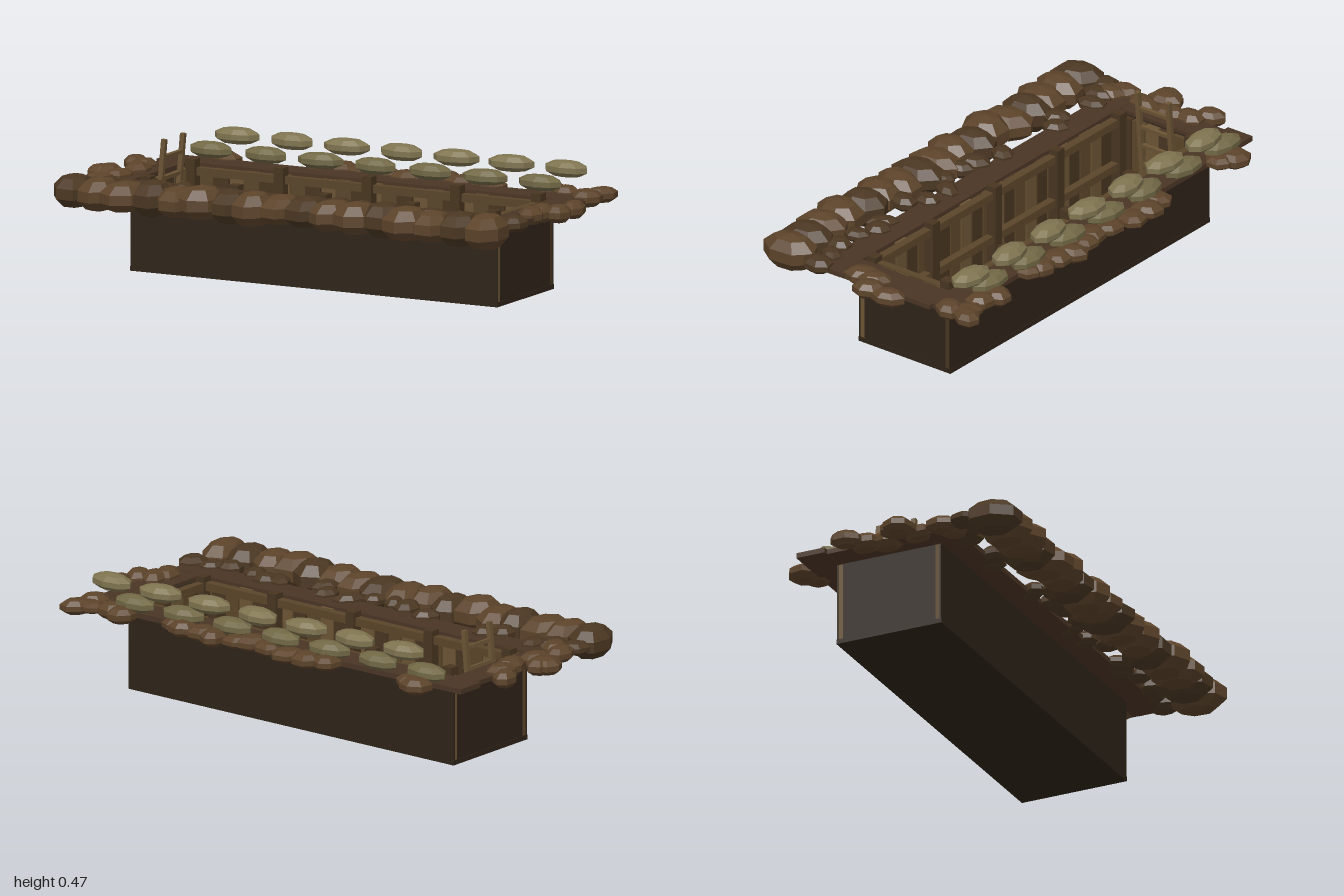
import * as THREE from 'three';

const mat = (color) => new THREE.MeshStandardMaterial({ color, flatShading: true });
const M = {
  dark: mat(0x2e2318), soil: mat(0x4a3525), dirt: mat(0x5c432a), dirtDark: mat(0x4b3722),
  wood: mat(0x6b5434), woodMid: mat(0x5a4529), woodDark: mat(0x483520),
  bag: mat(0x7f7450), bagDark: mat(0x716845), metal: mat(0x3d4144),
};

// Small seeded generator for irregular placement
let seed = 7;
const rand = (a, b) => {
  seed = (seed * 16807) % 2147483647;
  return a + (b - a) * (seed / 2147483647);
};

export function createModel() {
  seed = 7;
  const model = new THREE.Group();
  const group = (name) => {
    const g = new THREE.Group();
    g.name = name;
    model.add(g);
    return g;
  };
  // Box given by its minimum and maximum corners
  const box = (parent, name, a, b, material) => {
    const m = new THREE.Mesh(new THREE.BoxGeometry(b[0] - a[0], b[1] - a[1], b[2] - a[2]), material);
    m.position.set((a[0] + b[0]) / 2, (a[1] + b[1]) / 2, (a[2] + b[2]) / 2);
    m.name = name;
    parent.add(m);
    return m;
  };
  const lumpGeo = new THREE.SphereGeometry(1, 7, 5);
  const bagGeo = new THREE.SphereGeometry(1, 8, 5);
  const lump = (parent, name, geo, pos, size, yaw, material) => {
    const m = new THREE.Mesh(geo, material);
    m.position.set(...pos);
    m.scale.set(...size);
    m.rotation.y = yaw;
    m.name = name;
    parent.add(m);
  };

  // Dark outer shell of the trench
  const shell = group('trenchShell');
  box(shell, 'base', [-0.77, 0, -0.285], [0.77, 0.018, 0.145], M.dark);
  box(shell, 'frontPanel', [-0.77, 0.018, 0.138], [0.77, 0.325, 0.143], M.dark);
  box(shell, 'backPanel', [-0.77, 0.018, -0.283], [0.77, 0.325, -0.278], M.dark);
  for (const s of [-1, 1]) {
    const e = [0.755 * s, 0.767 * s].sort((p, q) => p - q);
    box(shell, 'endPanel', [e[0], 0.018, -0.26], [e[1], 0.325, 0.12], M.dark);
  }

  // Vertical plank lining on all four sides
  const lining = group('plankLining');
  const tones = [M.wood, M.woodMid, M.woodDark];
  const pitch = 1.54 / 24;
  for (let i = 0; i < 24; i++) {
    const x = -0.77 + i * pitch;
    box(lining, 'backPlank', [x + 0.003, 0.018, -0.278], [x + pitch - 0.003, 0.32 + rand(0, 0.012), -0.26], tones[i % 3]);
    box(lining, 'frontPlank', [x + 0.003, 0.018, 0.12], [x + pitch - 0.003, 0.32 + rand(0, 0.012), 0.138], tones[(i + 1) % 3]);
  }
  for (let i = 0; i < 6; i++) {
    const z = -0.26 + i * 0.0633;
    for (const x of [-0.755, 0.737])
      box(lining, 'endPlank', [x, 0.018, z + 0.003], [x + 0.018, 0.325, z + 0.06], tones[i % 3]);
  }

  // Posts and horizontal rails bracing the lining
  const frame = group('bracingFrame');
  for (const x of [-0.72, -0.35, 0.02, 0.39, 0.73]) {
    box(frame, 'backPost', [x - 0.02, 0.018, -0.262], [x + 0.02, 0.362, -0.22], M.woodDark);
    box(frame, 'frontPost', [x - 0.02, 0.018, 0.08], [x + 0.02, 0.352, 0.122], M.woodDark);
  }
  for (const y of [0.12, 0.3]) {
    box(frame, 'backRail', [-0.75, y, -0.262], [0.75, y + 0.03, -0.235], M.woodMid);
    box(frame, 'frontRail', [-0.75, y, 0.09], [0.75, y + 0.03, 0.122], M.woodMid);
  }
  box(frame, 'endRail', [0.712, 0.3, -0.26], [0.74, 0.33, 0.12], M.woodMid);

  // Slatted walkway on two runners
  const floor = group('duckboards');
  for (const z of [-0.18, 0.02]) box(floor, 'runner', [-0.72, 0.018, z - 0.015], [0.72, 0.034, z + 0.015], M.woodDark);
  for (let i = 0; i < 19; i++) {
    const x = -0.69 + i * 0.0765;
    const slat = box(floor, 'slat', [x - 0.027, 0.034, -0.235], [x + 0.027, 0.046, 0.075], tones[i % 2]);
    slat.rotation.y = rand(-0.05, 0.05);
  }

  // Ladder against the end wall
  const ladder = group('ladder');
  ladder.position.set(-0.745, 0.03, -0.07);
  ladder.rotation.z = -0.09;
  for (const z of [-0.072, 0.072]) box(ladder, 'ladderRail', [-0.009, 0, z - 0.009], [0.009, 0.445, z + 0.009], M.wood);
  for (let i = 0; i < 5; i++) box(ladder, 'rung', [-0.007, 0.05 + i * 0.08, -0.072], [0.007, 0.064 + i * 0.08, 0.072], M.wood);

  // Stores on the floor
  const stores = group('stores');
  box(stores, 'crate', [0.375, 0.046, -0.23], [0.54, 0.15, -0.125], M.woodDark);
  box(stores, 'metalTin', [0.585, 0.046, 0], [0.66, 0.095, 0.04], M.metal);

  // Ground rim around the opening
  const rim = group('groundRim');
  box(rim, 'backGround', [-0.89, 0.32, -0.39], [0.88, 0.34, -0.275], M.soil);
  box(rim, 'frontGround', [-0.87, 0.32, 0.13], [0.9, 0.34, 0.24], M.soil);
  box(rim, 'leftGround', [0.765, 0.321, -0.29], [0.9, 0.339, 0.14], M.soil);
  box(rim, 'rightGround', [-0.87, 0.321, -0.29], [-0.765, 0.339, 0.14], M.soil);

  // Heavy earth bank along the front
  const parapet = group('frontParapet');
  for (let i = 0; i < 17; i++) {
    const x = -0.86 + i * 0.1075;
    lump(parapet, 'earthLump', lumpGeo, [x, 0.332 + rand(-0.006, 0.006), 0.4 + rand(-0.015, 0.015)],
      [rand(0.075, 0.09), rand(0.058, 0.072), rand(0.1, 0.118)], rand(-0.3, 0.3), i % 3 ? M.dirt : M.dirtDark);
  }
  for (const x of [-0.88, -0.8, -0.73, -0.56, -0.5, -0.21, -0.09, -0.02, 0.07, 0.14, 0.25, 0.31, 0.49, 0.54, 0.62, 0.73, 0.8, 0.89])
    lump(parapet, 'looseLump', lumpGeo, [x, 0.338, rand(0.22, 0.3)],
      [rand(0.04, 0.055), rand(0.025, 0.035), rand(0.05, 0.07)], rand(-0.8, 0.8), M.dirtDark);

  // Flat spoil behind the trench
  const spoil = group('rearSpoil');
  for (const [x, z] of [[-0.72, -0.44], [-0.67, -0.41], [-0.28, -0.42], [-0.2, -0.44], [-0.11, -0.44], [0, -0.42], [0.09, -0.4],
    [0.14, -0.42], [0.24, -0.44], [0.31, -0.42], [0.4, -0.42], [0.45, -0.4], [0.68, -0.43], [0.75, -0.41], [0.84, -0.42], [0.88, -0.45], [0.87, -0.36]])
    lump(spoil, 'spoilLump', lumpGeo, [x, 0.335, z], [rand(0.05, 0.07), rand(0.024, 0.035), rand(0.05, 0.07)], rand(-0.9, 0.9), M.dirt);

  // Earth mounds at both ends
  const ends = group('endMounds');
  for (const [x, z] of [[-0.92, -0.17], [-0.86, -0.12], [-0.84, -0.04], [-0.92, 0.04], [-0.85, 0.09], [-0.88, 0.2], [-0.83, 0.23],
    [0.94, -0.13], [0.93, -0.03], [0.87, -0.01], [0.86, 0.05]])
    lump(ends, 'moundLump', lumpGeo, [x, 0.337, z], [rand(0.045, 0.055), rand(0.03, 0.038), rand(0.065, 0.08)], rand(-0.5, 0.5), M.dirt);
  lump(ends, 'moundLump', lumpGeo, [-0.94, 0.337, 0.05], [0.06, 0.034, 0.06], 0, M.dirt);

  // Two staggered rows of sandbags along the back
  const bags = group('sandbags');
  for (let i = 0; i < 7; i++) {
    const x = -0.61 + i * 0.23;
    lump(bags, 'lowerBag', bagGeo, [x - 0.11, 0.372, -0.38], [0.095, 0.032, 0.052], rand(-0.12, 0.12), M.bagDark);
    lump(bags, 'upperBag', bagGeo, [x, 0.434, -0.38], [0.096, 0.033, 0.053], rand(-0.12, 0.12), M.bag);
  }
  return model;
}
